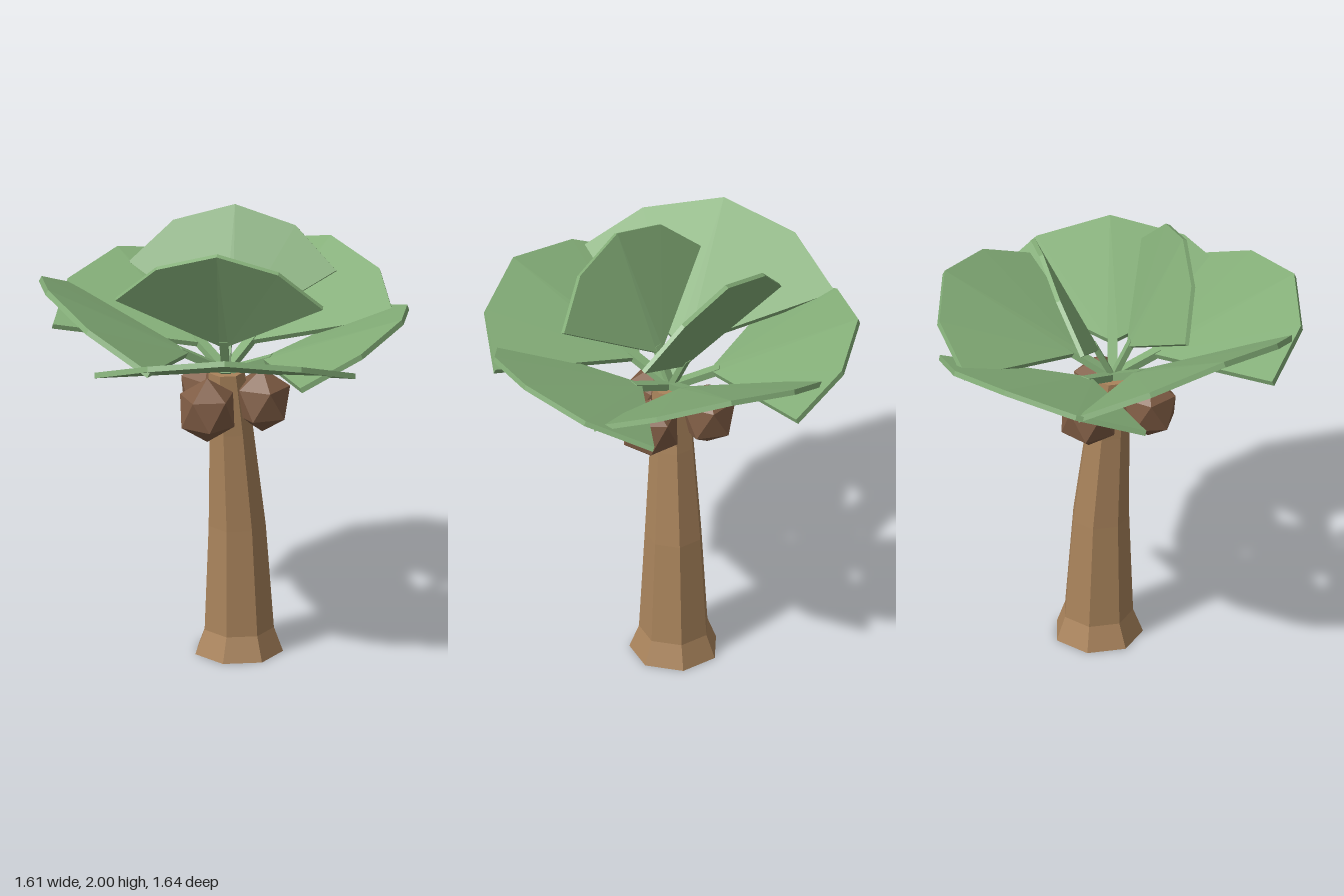
import * as THREE from 'three';

const mat = (color) => new THREE.MeshStandardMaterial({ color, flatShading: true });
const rad = THREE.MathUtils.degToRad;

// Fan blade: x runs along the leaf, y is its thickness, z its width; the sides droop slightly.
function bladeGeometry(thickness) {
  const side = [[0.165, -0.004, 0.02], [0.463, -0.035, 0.462], [0.655, -0.018, 0.272]];
  const mirrored = side.map(([x, y, z]) => [x, y, -z]).reverse();
  const outline = [...side, [0.735, 0, 0], ...mirrored];
  const n = outline.length;
  const pos = [];
  for (const h of [thickness / 2, -thickness / 2]) {
    for (const [x, y, z] of outline) pos.push(x, y + h, z);
  }
  const index = [];
  // pleats spread from both corners of the narrow base
  for (const [a, b, c] of [[0, 1, 2], [0, 2, 3], [0, 3, 6], [6, 3, 4], [6, 4, 5]]) {
    index.push(a, b, c, a + n, c + n, b + n);
  }
  // rim
  for (let i = 0; i < n; i++) {
    const j = (i + 1) % n;
    index.push(i, i + n, j + n, i, j + n, j);
  }
  const g = new THREE.BufferGeometry();
  g.setAttribute('position', new THREE.Float32BufferAttribute(pos, 3));
  g.setIndex(index);
  const flat = g.toNonIndexed();
  flat.computeVertexNormals();
  return flat;
}

// Seven-sided trunk that flares at the foot, tapers and leans: [y, centre x, radius]
function trunkGeometry() {
  const rings = [[0, 0.1, 0.2], [0.11, 0.102, 0.158], [0.6, 0.09, 0.13], [1.05, 0.056, 0.1], [1.335, 0.025, 0.083]];
  const last = rings.length - 1;
  const g = new THREE.CylinderGeometry(1, 1, last, 7, last, false, Math.PI / 2);
  const p = g.attributes.position;
  for (let i = 0; i < p.count; i++) {
    const [y, cx, r] = rings[Math.round(p.getY(i) + last / 2)];
    p.setXYZ(i, cx + p.getX(i) * r, y, p.getZ(i) * r);
  }
  g.computeVertexNormals();
  return g;
}

export function createModel() {
  const model = new THREE.Group();
  model.name = 'palmTree';
  const bark = mat(0xaa845c);
  const green = mat(0x84ae78);
  const brown = mat(0x7f5c44);
  const add = (parent, geometry, material, name) => {
    const mesh = new THREE.Mesh(geometry, material);
    mesh.name = name;
    parent.add(mesh);
    return mesh;
  };

  add(model, trunkGeometry(), bark, 'trunk');

  // Coconuts: three around the top of the trunk, each with a corner pointing up
  const nut = new THREE.IcosahedronGeometry(0.15, 0);
  nut.rotateZ(-Math.atan(2 / (1 + Math.sqrt(5))));
  nut.scale(0.92, 1, 0.92);
  for (const deg of [46, 166, 286]) {
    const a = rad(deg);
    const m = add(model, nut, brown, 'coconut');
    m.position.set(0.025 + 0.16 * Math.cos(a), 1.2, 0.16 * Math.sin(a));
    m.rotation.y = -a;
  }

  // Leaves: [direction, elevation, scale]; five spread wide, two stand upright
  const leaves = [
    [-8.8, 26.4, 1.19], [-80.8, 21, 1.21], [-152.6, 28.9, 1.29], [135.2, 22.3, 1.25], [63, 21.3, 1.2],
    [-38.1, 63.8, 1], [141.9, 63.8, 1],
  ];
  const blade = bladeGeometry(0.02);
  const stem = new THREE.BoxGeometry(0.19, 0.026, 0.036);
  stem.translate(0.095, -0.004, 0);
  for (const [direction, elevation, scale] of leaves) {
    const leaf = new THREE.Group();
    leaf.name = 'leaf';
    add(leaf, blade, green, 'leafBlade');
    add(leaf, stem, green, 'leafStem');
    leaf.position.set(0.025, 1.34, 0);
    leaf.rotation.set(0, -rad(direction), rad(elevation));
    leaf.scale.setScalar(scale);
    model.add(leaf);
  }
  return model;
}
